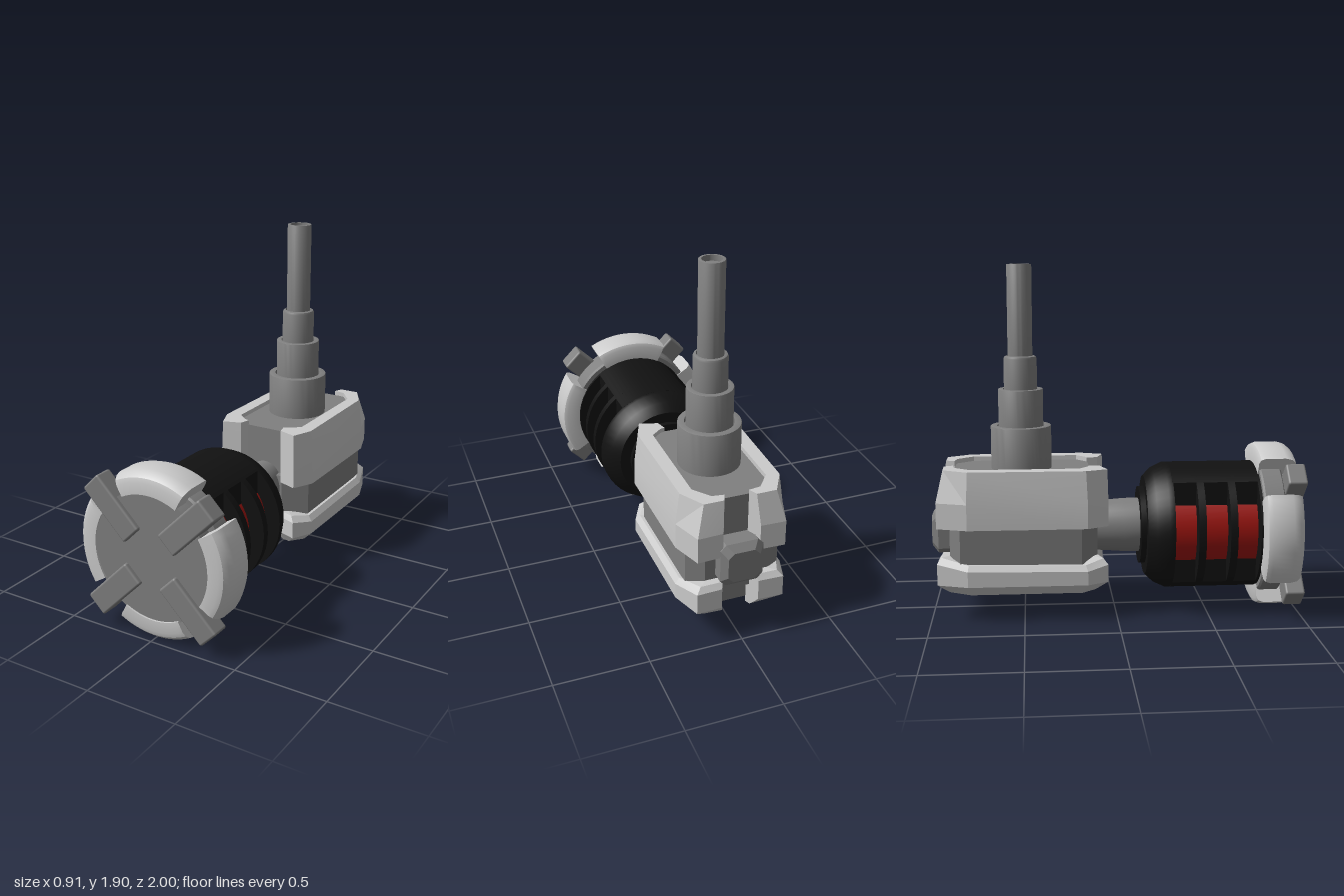
import * as THREE from 'three';
import { toCreasedNormals } from 'three/addons/utils/BufferGeometryUtils.js';
import { RoundedBoxGeometry } from 'three/addons/geometries/RoundedBoxGeometry.js';

const AXIS_Y = 0.448; // height of the head's long axis

// Closed solid through a list of equal-sized rings of [x, y, z], capped at both ends
function loft(rings, crease = 0.5) {
  const n = rings[0].length, pos = rings.flat(2), idx = [];
  for (let s = 0; s < rings.length - 1; s++) {
    for (let i = 0; i < n; i++) {
      const a = s * n + i, b = s * n + (i + 1) % n;
      idx.push(a, b, b + n, a, b + n, a + n);
    }
  }
  const last = (rings.length - 1) * n;
  for (let i = 1; i < n - 1; i++) {
    idx.push(0, i + 1, i, last, last + i, last + i + 1);
  }
  // Turn the faces outward if the enclosed volume comes out negative
  const p = (i) => new THREE.Vector3().fromArray(pos, i * 3);
  let volume = 0;
  for (let i = 0; i < idx.length; i += 3) {
    volume += p(idx[i]).dot(p(idx[i + 1]).cross(p(idx[i + 2])));
  }
  if (volume < 0) idx.reverse();
  const g = new THREE.BufferGeometry();
  g.setAttribute('position', new THREE.Float32BufferAttribute(pos, 3));
  g.setIndex(idx);
  return toCreasedNormals(g, crease);
}

const lathe = (pts) =>
  toCreasedNormals(new THREE.LatheGeometry(pts.map((p) => new THREE.Vector2(...p)), 48), 0.5);

// Lathe of [radius, z] points about the head axis
const latheZ = (pts) => lathe(pts).rotateX(Math.PI / 2).translate(0, AXIS_Y, 0);

const discZ = (r, z0, z1) => latheZ([[0, z0], [r, z0], [r, z1], [0, z1]]);

export function createModel() {
  const model = new THREE.Group();
  const paint = (color) => new THREE.MeshStandardMaterial({ color });
  const light = paint(0xcccccc), grey = paint(0x808080);
  const black = paint(0x111111), red = paint(0xa01510);
  const add = (name, geometry, material) => {
    const mesh = new THREE.Mesh(geometry, material);
    mesh.name = name;
    model.add(mesh);
    return mesh;
  };

  // Front plate
  add('frontPlate', latheZ([
    [0, 0.78], [0.375, 0.78], [0.385, 0.79], [0.385, 0.89], [0.375, 0.9],
    [0.35, 0.9], [0.35, 0.975], [0, 0.975],
  ]), grey);

  // Four rounded rim guards; the side pair is a little wider
  const guardProfile = [
    [0.34, 0.775], [0.425, 0.775], [0.445, 0.785], [0.455, 0.81], [0.455, 0.92],
    [0.445, 0.955], [0.425, 0.977], [0.4, 0.985], [0.34, 0.985],
  ];
  for (let k = 0; k < 4; k++) {
    const half = THREE.MathUtils.degToRad(k % 2 ? 28 : 32), rings = [];
    for (let i = 0; i <= 16; i++) {
      const a = k * Math.PI / 2 + half * (i / 8 - 1);
      rings.push(guardProfile.map(([r, z]) => [r * Math.cos(a), AXIS_Y + r * Math.sin(a), z]));
    }
    add('rimGuard', loft(rings), light);
  }

  // Four diagonal claws
  for (let k = 0; k < 4; k++) {
    const a = Math.PI / 4 + k * Math.PI / 2;
    const g = new RoundedBoxGeometry(0.345, 0.13, 0.105, 2, 0.012);
    g.translate(0.318, 0, 0.9475).rotateZ(a).translate(0, AXIS_Y, 0);
    add('claw', g, grey);
  }

  // Barrel: rear shoulder, core with flat sides, ribs between the slots
  add('barrelShoulder', latheZ([
    [0, 0.135], [0.215, 0.135], [0.215, 0.165], [0.275, 0.165], [0.32, 0.21],
    [0.35, 0.275], [0.35, 0.305], [0, 0.305],
  ]), black);
  const flat = Math.acos(0.213 / 0.35);
  const coreRing = (z) => [0, Math.PI].flatMap((start) =>
    Array.from({ length: 17 }, (_, i) => {
      const a = start + flat + (Math.PI - 2 * flat) * i / 16;
      return [0.35 * Math.cos(a), AXIS_Y + 0.35 * Math.sin(a), z];
    }));
  add('barrelCore', loft([coreRing(0.3), coreRing(0.78)]), black);
  for (const [z0, z1] of [[0.43, 0.47], [0.6, 0.64], [0.765, 0.785]]) {
    add('barrelRib', discZ(0.35, z0, z1), black);
  }
  add('glowCylinder', discZ(0.262, 0.3, 0.77), red);

  // Neck, narrowing towards the housing
  const neckRing = ([z, rx, ry]) => Array.from({ length: 32 }, (_, i) => {
    const a = i * Math.PI / 16;
    return [rx * Math.cos(a), AXIS_Y + ry * Math.sin(a), z];
  });
  add('neck', loft([
    [0.14, 0.145, 0.15], [0.05, 0.14, 0.149], [-0.03, 0.128, 0.143], [-0.16, 0.108, 0.135],
  ].map(neckRing)), grey);

  // Housing body: mirrored half plans of [x, z]
  const prism = (plan, y0, y1) => {
    const full = [...plan, ...plan.map(([x, z]) => [-x, z]).reverse()];
    return loft([y0, y1].map((y) => full.map(([x, z]) => [x, y, z])), 0.2);
  };
  add('housingCore', prism(
    [[0.12, -0.14], [0.205, -0.19], [0.205, -0.79], [0.13, -0.875]], 0.16, 0.785), grey);
  add('housingWaist', prism(
    [[0.13, -0.1], [0.255, -0.19], [0.255, -0.84], [0.17, -0.9]], 0.25, 0.53), grey);

  // Armour shells: stations of inner x, z, outer x, z, top inset, lower lip rise
  const stations = [
    [0.115, -0.145, 0.13, -0.085, 0, 0.02],
    [0.14, -0.15, 0.235, -0.047, 0.05, 0.02],
    [0.2, -0.2, 0.295, -0.16, 0.2, 0],
    [0.2, -0.78, 0.292, -0.8, 0.25, 0.01],
    [0.13, -0.87, 0.235, -0.965, 0.4, 0.04],
    [0.065, -0.88, 0.1, -0.96, 0.4, 0.04],
  ];
  const shell = (side, profile) => loft(stations.map(([ix, iz, ox, oz, inset, rise]) =>
    profile(inset, rise).map(([t, y]) => [side * (ix + (ox - ix) * t), y, iz + (oz - iz) * t])), 0.15);
  const upper = (inset) => [[0, 0.5], [1, 0.5], [1, 0.64], [1 - inset, 0.81], [0, 0.81]];
  const lower = (inset, rise) => [
    [0, 0.295 + rise], [0.75, 0.295 + rise], [1, 0.265 + rise], [1, 0.19], [0.35, 0.13], [0, 0.13],
  ];
  for (const side of [1, -1]) {
    const name = side > 0 ? 'left' : 'right';
    add(name + 'UpperShell', shell(side, upper), light);
    add(name + 'LowerShell', shell(side, lower), light);
  }

  // Chamfered knob at the back
  const knobRing = ([z, w, h]) => {
    const c = 0.03;
    const q = [[w, h - c], [w - c, h], [c - w, h], [-w, h - c], [-w, c - h], [c - w, -h], [w - c, -h], [w, c - h]];
    return q.map(([x, y]) => [x, y + 0.45, z]);
  };
  add('rearKnob', loft(
    [[-0.85, 0.115, 0.12], [-0.965, 0.115, 0.12], [-1, 0.085, 0.085]].map(knobRing), 0.2), grey);

  // Stepped mast of nested sleeves, each with a recessed rim, ending in an open tube
  const sleeves = [
    [0.165, 0.13, 0.77, 1.02, 0.004], [0.122, 0.096, 0.98, 1.22, 0.004],
    [0.09, 0.073, 1.18, 1.4, 0.016], [0.067, 0.052, 1.36, 1.89, 0.003],
  ];
  for (const [r, inner, y0, y1, b] of sleeves) {
    const g = lathe([
      [0, y0], [r, y0], [r, y1 - b], [r - b * 0.3, y1 - b * 0.3], [r - b, y1],
      [inner, y1], [inner, y1 - 0.03], [0, y1 - 0.03],
    ]);
    add('mastSleeve', g.translate(0, 0, -0.51), grey);
  }
  return model;
}
